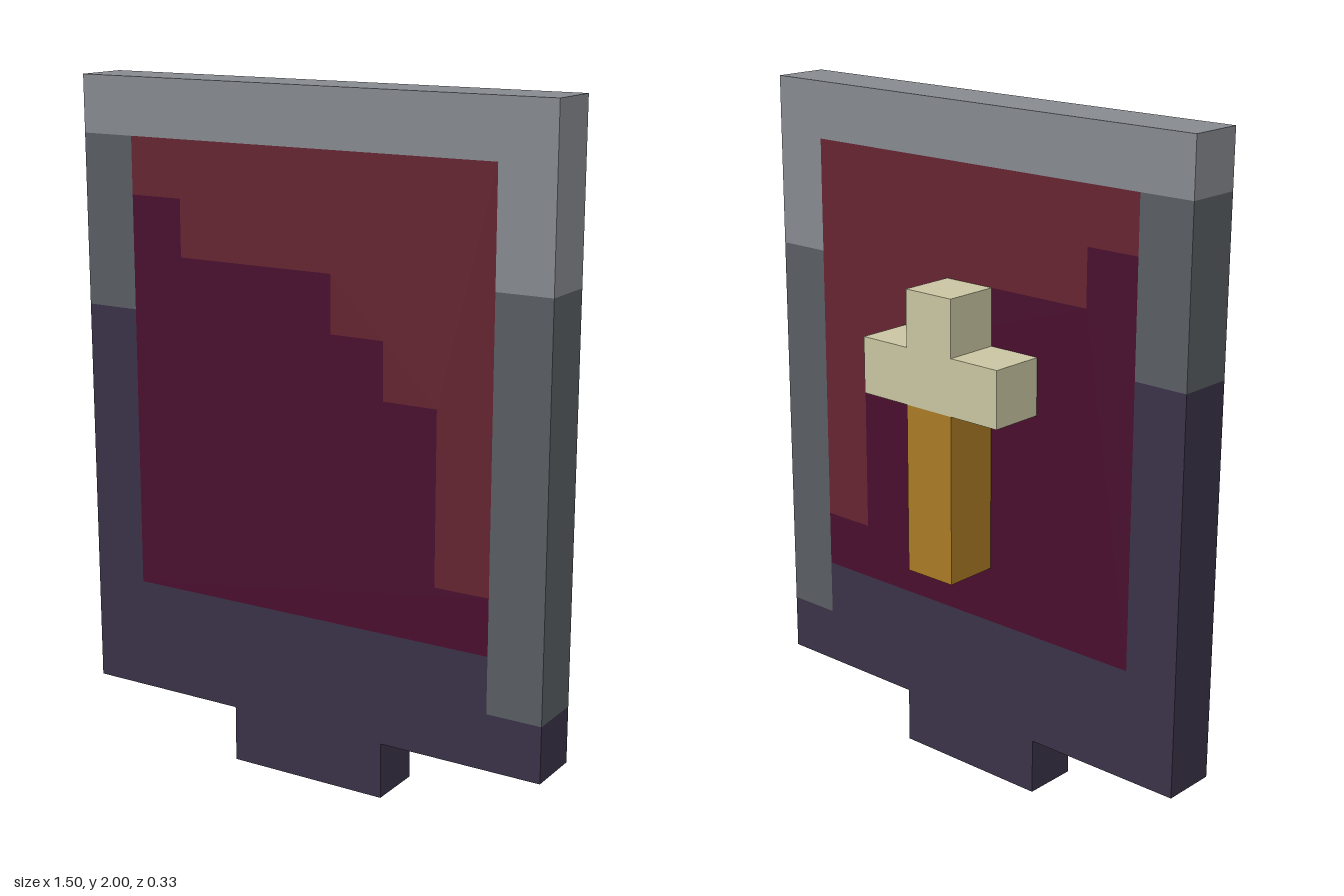
import * as THREE from 'three';

// One grid cell; the model is 9 cells wide and 12 tall
const U = 1 / 6;

const mat = (name, color) => {
  const m = new THREE.MeshStandardMaterial({ color });
  m.name = name;
  return m;
};

// Extrudes a stepped outline, given in cells, one cell deep from z
function slab(name, material, points, z) {
  const shape = new THREE.Shape(points.map(([x, y]) => new THREE.Vector2(x * U, y * U)));
  const geometry = new THREE.ExtrudeGeometry(shape, { depth: U, bevelEnabled: false });
  geometry.translate(0, 0, z);
  const mesh = new THREE.Mesh(geometry, material);
  mesh.name = name;
  return mesh;
}

const rect = (x0, y0, x1, y1) => [[x0, y0], [x1, y0], [x1, y1], [x0, y1]];

export function createModel() {
  const lightSteel = mat('light steel', 0x86898f);
  const midSteel = mat('mid steel', 0x595e63);
  const darkSteel = mat('dark steel', 0x3a3247);
  const maroon = mat('maroon', 0x490e2e);
  const red = mat('red', 0x652431);
  const cream = mat('cream', 0xc9c5a2);
  const gold = mat('gold', 0xa97a24);

  // Stepped line between the two panel colours, lower right to upper left
  const steps = [[3.5, 4], [2.5, 4], [2.5, 7], [1.5, 7], [1.5, 8], [0.5, 8],
    [0.5, 9], [-2.5, 9], [-2.5, 10], [-3.5, 10]];

  const shield = new THREE.Group();
  shield.name = 'shield';
  shield.add(
    // Rim, shaded from light at the top to dark at the foot
    slab('upperRim', lightSteel, [[-4.5, 11], [3.5, 11], [3.5, 9], [4.5, 9], [4.5, 12], [-4.5, 12]], 0),
    slab('rightRim', midSteel, rect(-4.5, 8, -3.5, 11), 0),
    slab('leftRim', midSteel, rect(3.5, 2, 4.5, 9), 0),
    slab('lowerRim', darkSteel, [[-1.5, 0], [1.5, 0], [1.5, 1], [4.5, 1], [4.5, 2], [3.5, 2],
      [3.5, 3], [-3.5, 3], [-3.5, 8], [-4.5, 8], [-4.5, 1], [-1.5, 1]], 0),
    // Panel
    slab('lowerPanel', maroon, [[-3.5, 3], [3.5, 3], ...steps], 0),
    slab('upperPanel', red, [...steps, [-3.5, 11], [3.5, 11]], 0),
  );

  // Handle on the back
  const handle = new THREE.Group();
  handle.name = 'handle';
  handle.add(
    slab('grip', gold, rect(-0.5, 4, 0.5, 7), -U),
    slab('crossbar', cream, [[-1.5, 7], [1.5, 7], [1.5, 8], [0.5, 8], [0.5, 9], [-0.5, 9], [-0.5, 8], [-1.5, 8]], -U),
  );

  const model = new THREE.Group();
  model.name = 'blockShield';
  model.add(shield, handle);
  return model;
}
